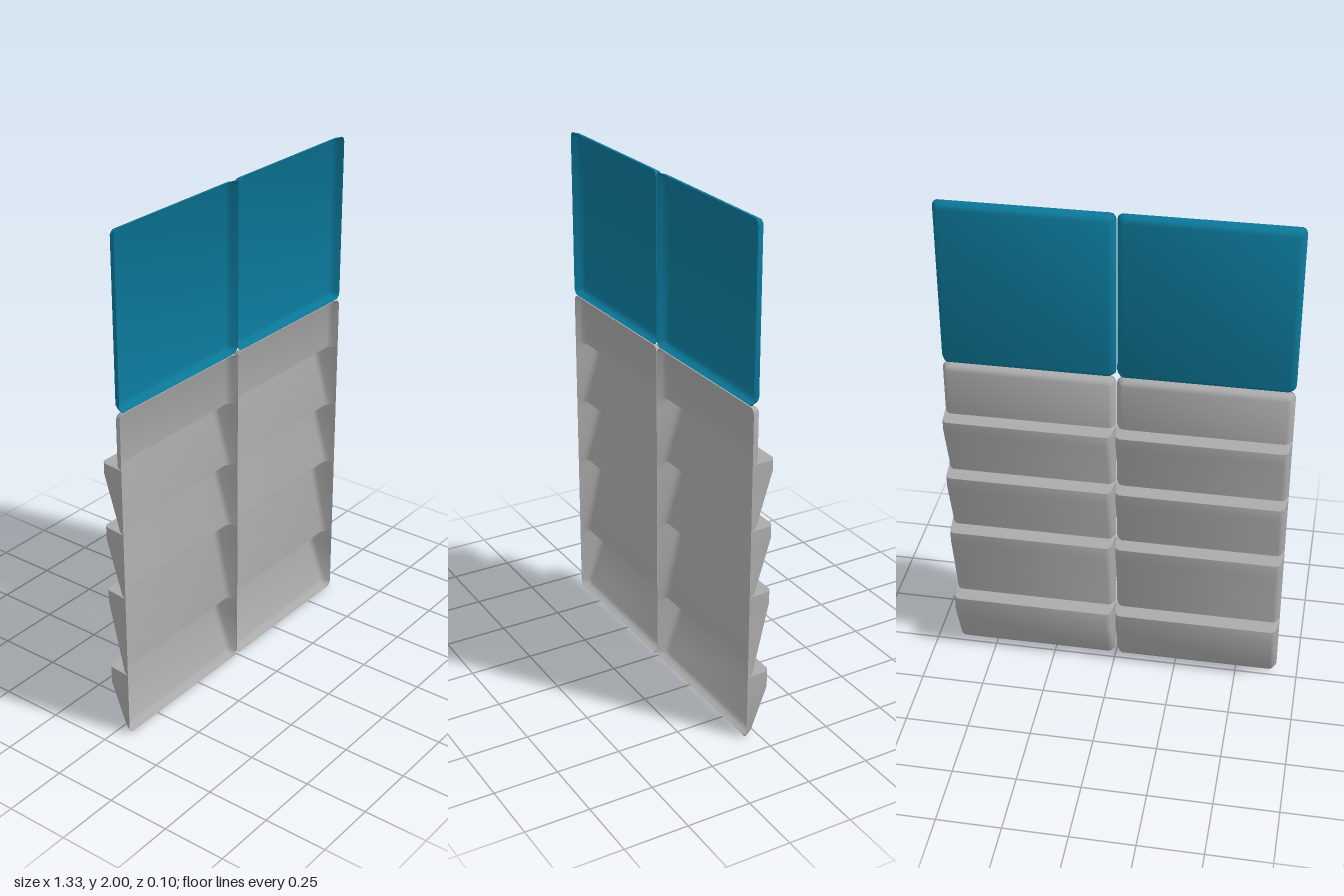
import * as THREE from 'three';
import { toCreasedNormals } from 'three/addons/utils/BufferGeometryUtils.js';

const RIM = 0.05;    // z of the open front rim
const BACK = 0.014;  // z of the flat back
const LIP = -0.05;   // z of the ridge tips
const X_IN = 0.0015, X_OUT = 0.665;

// Side rounding: distance in from the edge, height above the back
const SIDE = [[0, 1], [0.008, 0.018], [0.014, 0.007], [0.025, 0]];

// Rounded end rows: distance from the end, back z, corner inset
const END = [[0, RIM, 0.02], [0.004, 0.032, 0.01], [0.012, 0.019, 0.003], [0.025, BACK, 0]];

// Open-fronted tray; ridges = [step y, end of flat lip y, foot of slope y]
function trayGeometry(bottom, top, ridges = []) {
  const rows = END.map(([d, z, inset]) => [top - d, z, inset]);
  for (const [step, lip, foot] of ridges) {
    rows.push([step + 0.002, BACK, 0], [step, LIP, 0], [lip, LIP, 0]);
    if (foot > bottom + 0.05) rows.push([foot + 0.004, BACK, 0]);
  }
  for (const [d, z, inset] of [...END].reverse()) rows.push([bottom + d, z, inset]);

  // Cross-section of each row, from one rim to the other
  const positions = [], index = [], cols = SIDE.length * 2;
  for (const [y, back, inset] of rows) {
    const left = SIDE.map(([d, h]) => [X_IN + inset + d, Math.min(RIM, back + h)]);
    const right = SIDE.map(([d, h]) => [X_OUT - inset - d, Math.min(RIM, back + h)]).reverse();
    for (const [x, z] of [...left, ...right]) positions.push(x, y, z);
  }
  for (let i = 0; i < rows.length - 1; i++) {
    for (let j = 0; j < cols - 1; j++) {
      const a = i * cols + j, c = a + cols;
      index.push(a, a + 1, c, a + 1, c + 1, c);
    }
  }
  const geometry = new THREE.BufferGeometry();
  geometry.setAttribute('position', new THREE.Float32BufferAttribute(positions, 3));
  geometry.setIndex(index);
  return toCreasedNormals(geometry, 0.8);
}

export function createModel() {
  const group = new THREE.Group();
  group.name = 'louveredPanels';

  const blue = new THREE.MeshStandardMaterial({ name: 'blue', color: 0x0b7798, side: THREE.DoubleSide });
  const grey = new THREE.MeshStandardMaterial({ name: 'grey', color: 0xaaaaaa, side: THREE.DoubleSide });

  const upper = trayGeometry(1.337, 2);
  const lower = trayGeometry(0, 1.333, [
    [1.12, 1.075, 0.865],
    [0.862, 0.81, 0.6],
    [0.597, 0.545, 0.265],
    [0.262, 0.19, 0.025],
  ]);

  // One smooth and one louvered tray on each side of the seam
  for (const [side, shift] of [['left', 0], ['right', -X_IN - X_OUT]]) {
    const top = new THREE.Mesh(upper, blue);
    top.name = side + 'UpperPanel';
    const louver = new THREE.Mesh(lower, grey);
    louver.name = side + 'LouveredPanel';
    top.position.x = louver.position.x = shift;
    group.add(top, louver);
  }
  return group;
}
